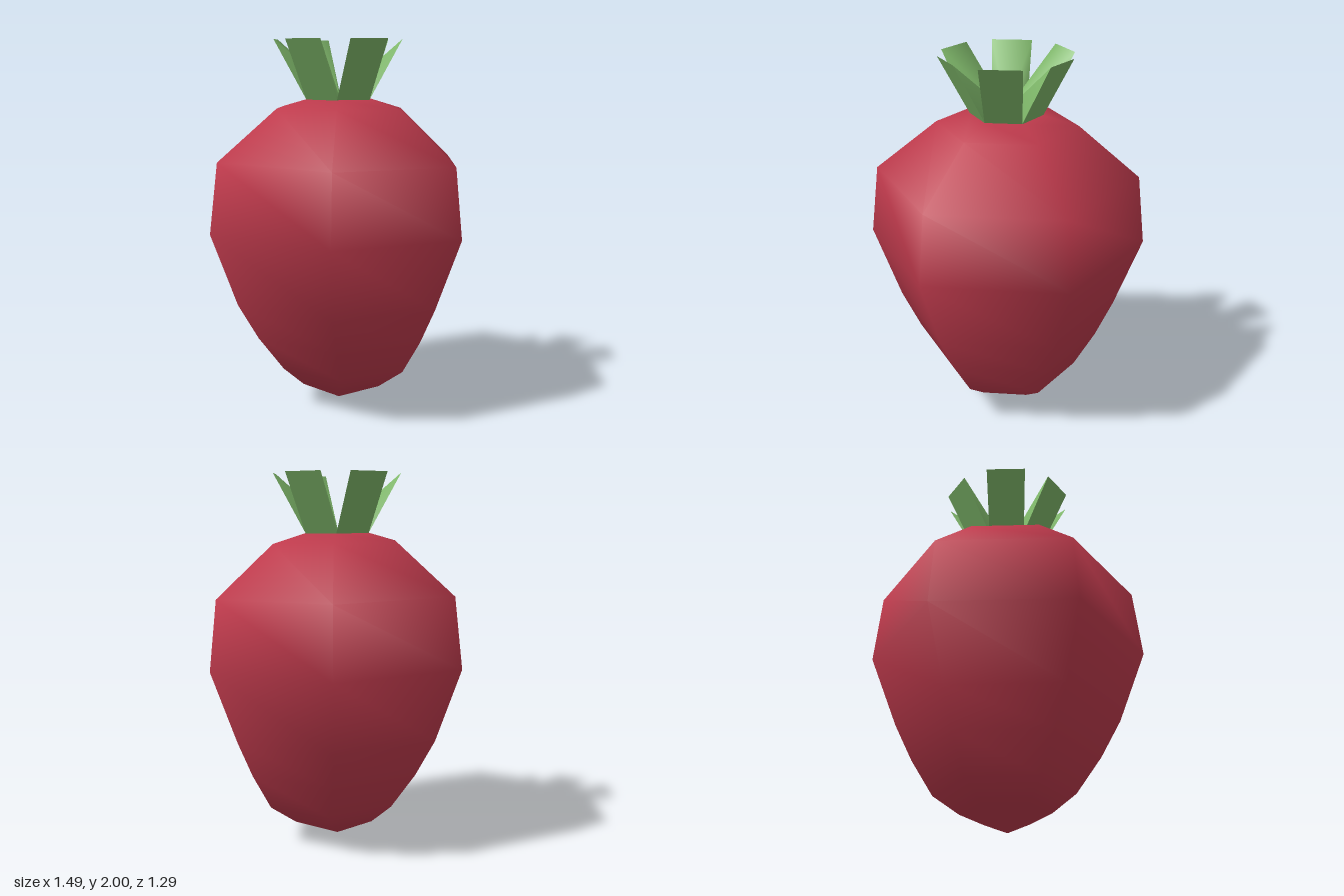
import * as THREE from 'three';

const red = new THREE.MeshStandardMaterial({ color: 0xbe3a4c });
red.name = 'berryRed';
const green = new THREE.MeshStandardMaterial({ color: 0x7fb86a });
green.name = 'leafGreen';

// Six-sided fruit: rings of [radius, height, sideways shift], slightly tilted
function createFruit() {
  const rings = [
    [0, 0.005, 0], [0.24, 0.11, 0.02], [0.375, 0.215, 0.035], [0.5, 0.405, 0.015],
    [0.6, 0.6, 0], [0.747, 0.99, 0], [0.704, 1.362, 0.003], [0.375, 1.635, 0.01],
    [0.19, 1.685, 0.01], [0, 1.69, 0.01],
  ];
  const profile = rings.map(([r, y]) => new THREE.Vector2(r, y));
  const geometry = new THREE.LatheGeometry(profile, 6, Math.PI / 2);
  const p = geometry.attributes.position;
  for (let i = 0; i < p.count; i++) {
    const x = p.getX(i);
    p.setX(i, x + rings[i % rings.length][2]);
    p.setY(i, p.getY(i) - 0.017 * x);
  }
  const mesh = new THREE.Mesh(geometry, red);
  mesh.name = 'fruit';
  return mesh;
}

// Wedge leaf: flat outer face, smooth inner faces meeting at the crown's centre
function createLeafGeometry() {
  const a = [-0.097, 1.68, 0.165], b = [0.097, 1.68, 0.165];
  const c = [-0.108, 2, 0.338], d = [0.108, 2, 0.338];
  const centre = [0, 1.705, 0];
  const geometry = new THREE.BufferGeometry();
  const points = [a, b, d, c, a, b, d, c, centre].flat();
  geometry.setAttribute('position', new THREE.Float32BufferAttribute(points, 3));
  geometry.setIndex([
    0, 1, 2, 0, 2, 3, // outer face
    7, 6, 8, 5, 8, 6, 4, 7, 8, // inner face and two flanks
  ]);
  geometry.computeVertexNormals();
  return geometry;
}

export function createModel() {
  const model = new THREE.Group();
  model.name = 'berry';
  model.add(createFruit());

  // Crown of six leaves
  const crown = new THREE.Group();
  crown.name = 'leafCrown';
  const leafGeometry = createLeafGeometry();
  for (let i = 0; i < 6; i++) {
    const leaf = new THREE.Mesh(leafGeometry, green);
    leaf.name = 'leaf' + (i + 1);
    leaf.rotation.y = (i * Math.PI) / 3;
    crown.add(leaf);
  }
  model.add(crown);
  return model;
}
